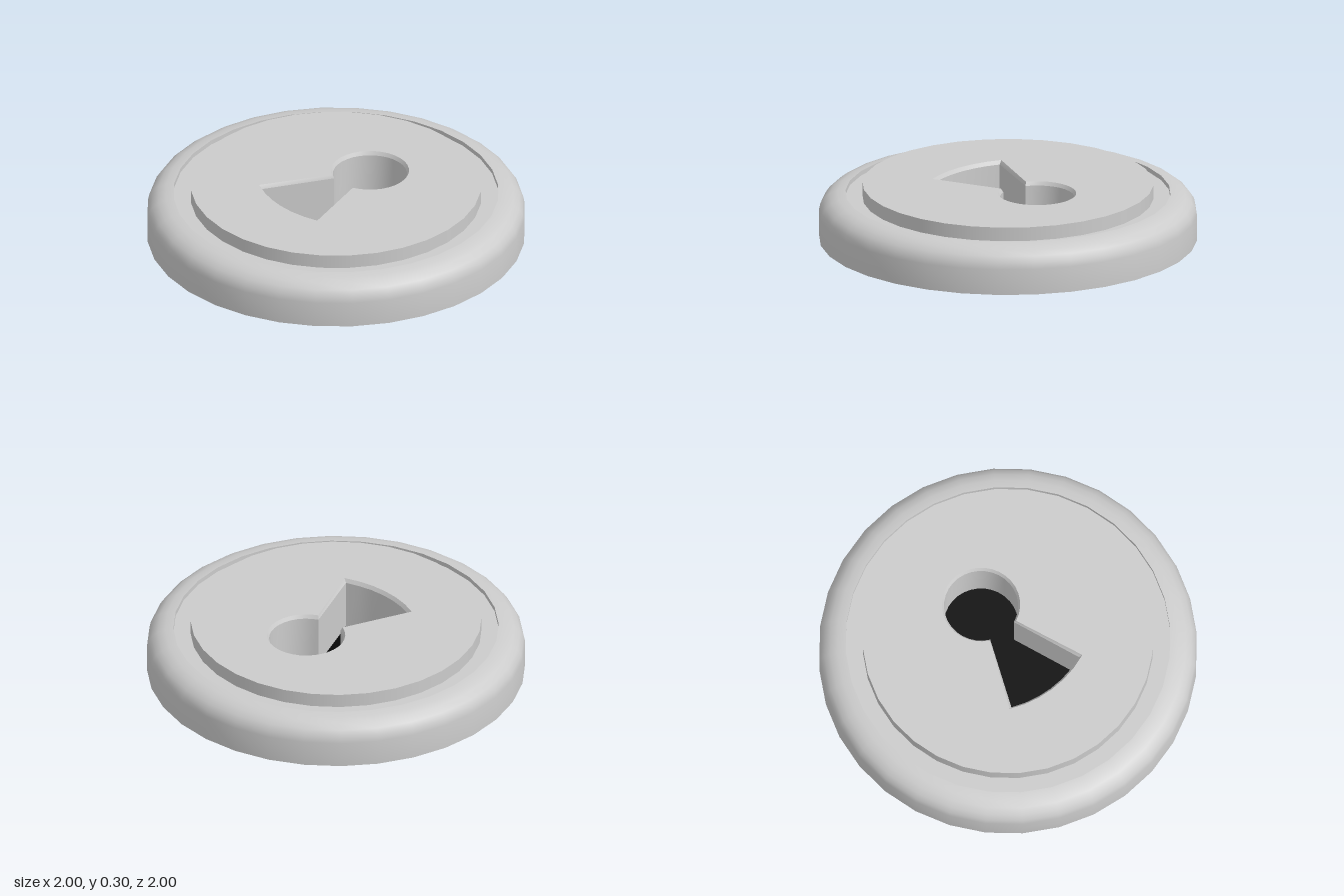
import * as THREE from 'three';
import { toCreasedNormals } from 'three/addons/utils/BufferGeometryUtils.js';

const SIDES = 32;
const TOP = 0.3, GROOVE = 0.225, FLOOR = 0.01, PLATE_R = 0.77;

// Keyhole outline, counter-clockwise in plan (x, -z): round head, then a flared tail.
function keyhole(headR, neckHalf, tailR, tailHalf) {
  const points = [];
  const arc = (r, from, to, steps) => {
    for (let i = 0; i <= steps; i++) {
      const a = from + (to - from) * i / steps - Math.PI / 2;
      points.push(new THREE.Vector2(r * Math.cos(a), 0.23 + r * Math.sin(a)));
    }
  };
  arc(headR, neckHalf, 2 * Math.PI - neckHalf, 28);
  arc(tailR, -tailHalf, tailHalf, 6);
  return points;
}

// Closed wall facing the inside of the loop, from an upper outline to a lower one.
function innerWall(upper, yUpper, lower, yLower) {
  const pos = [];
  const n = upper.length;
  for (let i = 0; i < n; i++) {
    const j = (i + 1) % n;
    const a = [upper[i].x, yUpper, -upper[i].y], b = [upper[j].x, yUpper, -upper[j].y];
    const c = [lower[i].x, yLower, -lower[i].y], d = [lower[j].x, yLower, -lower[j].y];
    pos.push(...a, ...b, ...d, ...a, ...d, ...c);
  }
  const geo = new THREE.BufferGeometry();
  geo.setAttribute('position', new THREE.Float32BufferAttribute(pos, 3));
  return toCreasedNormals(geo, 0.6);
}

// Flat horizontal face from a plan shape.
function flatFace(shape, y) {
  return new THREE.ShapeGeometry(shape).rotateX(-Math.PI / 2).translate(0, y, 0);
}

export function createModel() {
  const group = new THREE.Group();
  const grey = new THREE.MeshStandardMaterial({ color: 0xcccccc });
  const black = new THREE.MeshStandardMaterial({ color: 0x050505 });
  const add = (name, geo, mat = grey) => {
    const mesh = new THREE.Mesh(geo, mat);
    mesh.name = name;
    group.add(mesh);
  };

  // Base: flat underside, rounded shoulder, shallow groove around the plate
  const profile = [new THREE.Vector2(0, 0), new THREE.Vector2(1, 0)];
  for (let i = 0; i <= 5; i++) {
    const a = i / 5 * Math.PI / 2;
    profile.push(new THREE.Vector2(0.86 + 0.14 * Math.cos(a), 0.14 + 0.11 * Math.sin(a)));
  }
  profile.push(new THREE.Vector2(0.86, GROOVE), new THREE.Vector2(PLATE_R, GROOVE));
  add('base', toCreasedNormals(new THREE.LatheGeometry(profile, SIDES), 0.6));

  // Raised plate: rim and pierced top
  const rimHeight = TOP - GROOVE;
  add('plateRim', new THREE.CylinderGeometry(PLATE_R, PLATE_R, rimHeight, SIDES, 1, true)
    .translate(0, GROOVE + rimHeight / 2, 0));

  const outer = keyhole(0.207, 0.443, 0.606, 0.416);
  const inner = keyhole(0.196, 0.418, 0.593, 0.394);
  const plate = new THREE.Shape(Array.from({ length: SIDES }, (_, i) => {
    const a = i / SIDES * Math.PI * 2;
    return new THREE.Vector2(PLATE_R * Math.cos(a), PLATE_R * Math.sin(a));
  }));
  plate.holes.push(new THREE.Path(outer));
  add('plateTop', flatFace(plate, TOP));

  // Keyhole: chamfered lip, deep walls, dark floor
  add('keyholeChamfer', innerWall(outer, TOP, inner, TOP - 0.02));
  add('keyholeWalls', innerWall(inner, TOP - 0.02, inner, FLOOR));
  add('keyholeFloor', flatFace(new THREE.Shape(inner), FLOOR), black);

  return group;
}
